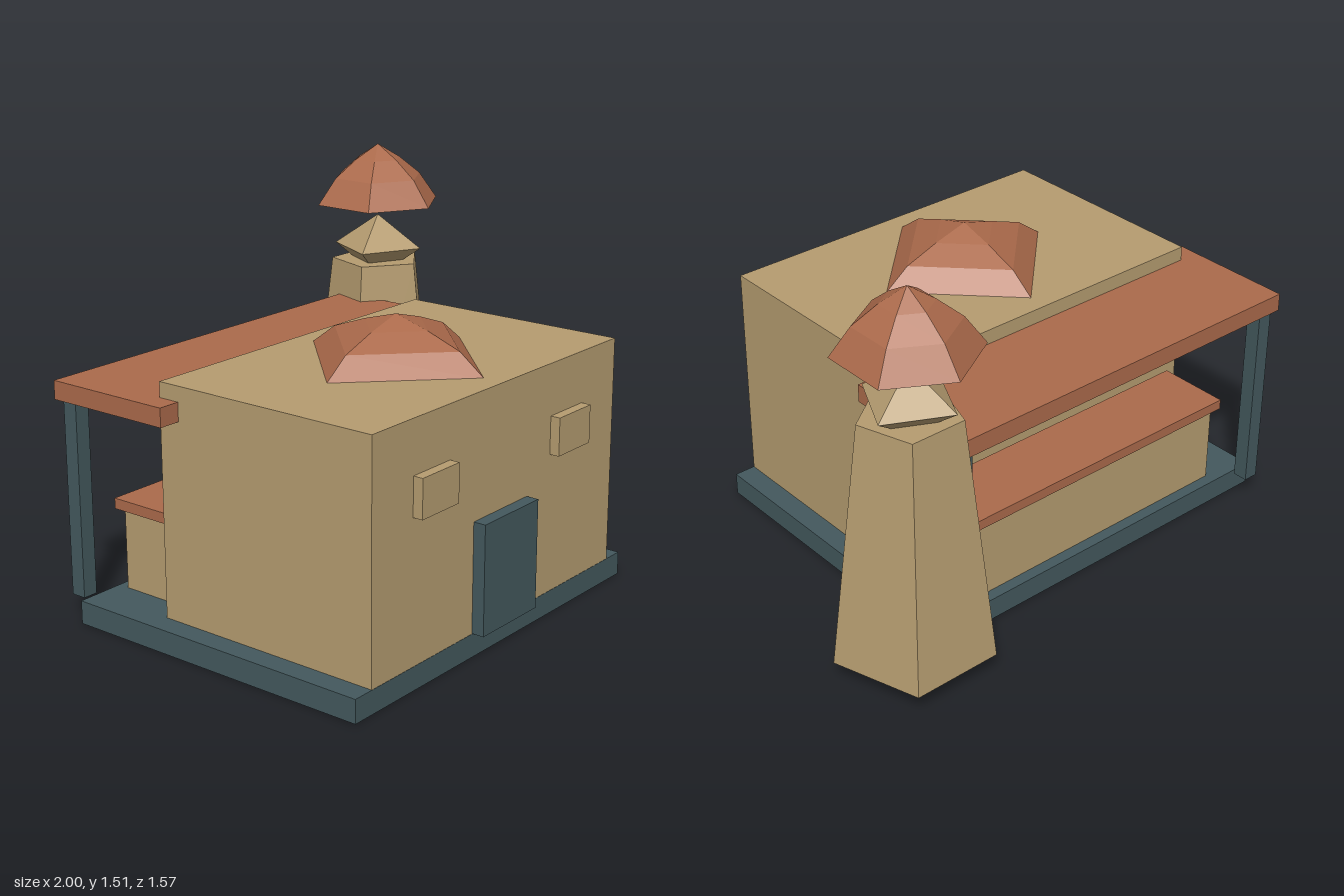
import * as THREE from 'three';

const material = (name, color) => {
  const m = new THREE.MeshStandardMaterial({ color, flatShading: true });
  m.name = name;
  return m;
};

export function createModel() {
  const group = new THREE.Group();
  const sand = material('sandstone', 0xb59c70);
  const clay = material('clayRed', 0xab6a4b);
  const teal = material('darkTeal', 0x43585d);

  const add = (name, geometry, mat, x = 0, y = 0, z = 0) => {
    const mesh = new THREE.Mesh(geometry, mat);
    mesh.name = name;
    mesh.position.set(x, y, z);
    group.add(mesh);
    return mesh;
  };

  // Box given by its limits on each axis
  const box = (name, mat, [x0, x1], [y0, y1], [z0, z1]) =>
    add(name, new THREE.BoxGeometry(x1 - x0, y1 - y0, z1 - z0), mat,
      (x0 + x1) / 2, (y0 + y1) / 2, (z0 + z1) / 2);

  // Faceted solid of revolution, profile listed from bottom to top
  const faceted = (name, mat, profile, sides, x, z) =>
    add(name, new THREE.LatheGeometry(profile.map(([r, y]) => new THREE.Vector2(r, y)), sides), mat, x, 0, z);

  // House on its plinth
  box('plinth', teal, [-1, 0.6], [0, 0.088], [-0.525, 0.738]);
  box('house', sand, [-0.915, 0.515], [0.088, 0.955], [-0.18, 0.737]);
  box('door', teal, [-0.36, -0.04], [0.089, 0.5], [0.7, 0.785]);
  for (const x of [-0.6, 0.2]) {
    box('windowBlock', sand, [x - 0.1, x + 0.1], [0.617, 0.76], [0.7, 0.775]);
  }

  // Four-sided roof dome
  faceted('roofDome', clay,
    [[0, 0.95], [0.385, 0.95], [0.278, 1.03], [0.14, 1.08], [0, 1.12]], 4, -0.2, 0.277);

  // Rear awning with two posts
  box('awning', clay, [-1, 0.6], [0.828, 0.898], [-0.612, -0.095]);
  for (const x of [-0.94, 0.54]) {
    box('awningPost', teal, [x - 0.03, x + 0.03], [0.085, 0.83], [-0.6, -0.54]);
  }

  // Bench behind the house
  box('benchBase', sand, [-0.81, 0.41], [0.088, 0.4], [-0.48, -0.222]);
  box('benchSeat', clay, [-0.84, 0.44], [0.4, 0.44], [-0.5, -0.21]);

  // Five-sided tower, finial and floating cap
  const tx = 0.715, tz = -0.525;
  add('tower', new THREE.CylinderGeometry(0.186, 0.297, 0.95, 5), sand, tx, 0.563, tz);
  faceted('towerFinial', sand, [[0, 0.96], [0.184, 1.09], [0, 1.22]], 4, tx, tz).rotation.y = 0.325;
  faceted('towerCap', clay,
    [[0, 1.275], [0.258, 1.275], [0.183, 1.38], [0.094, 1.452], [0, 1.51]], 6, tx, tz);

  return group;
}
